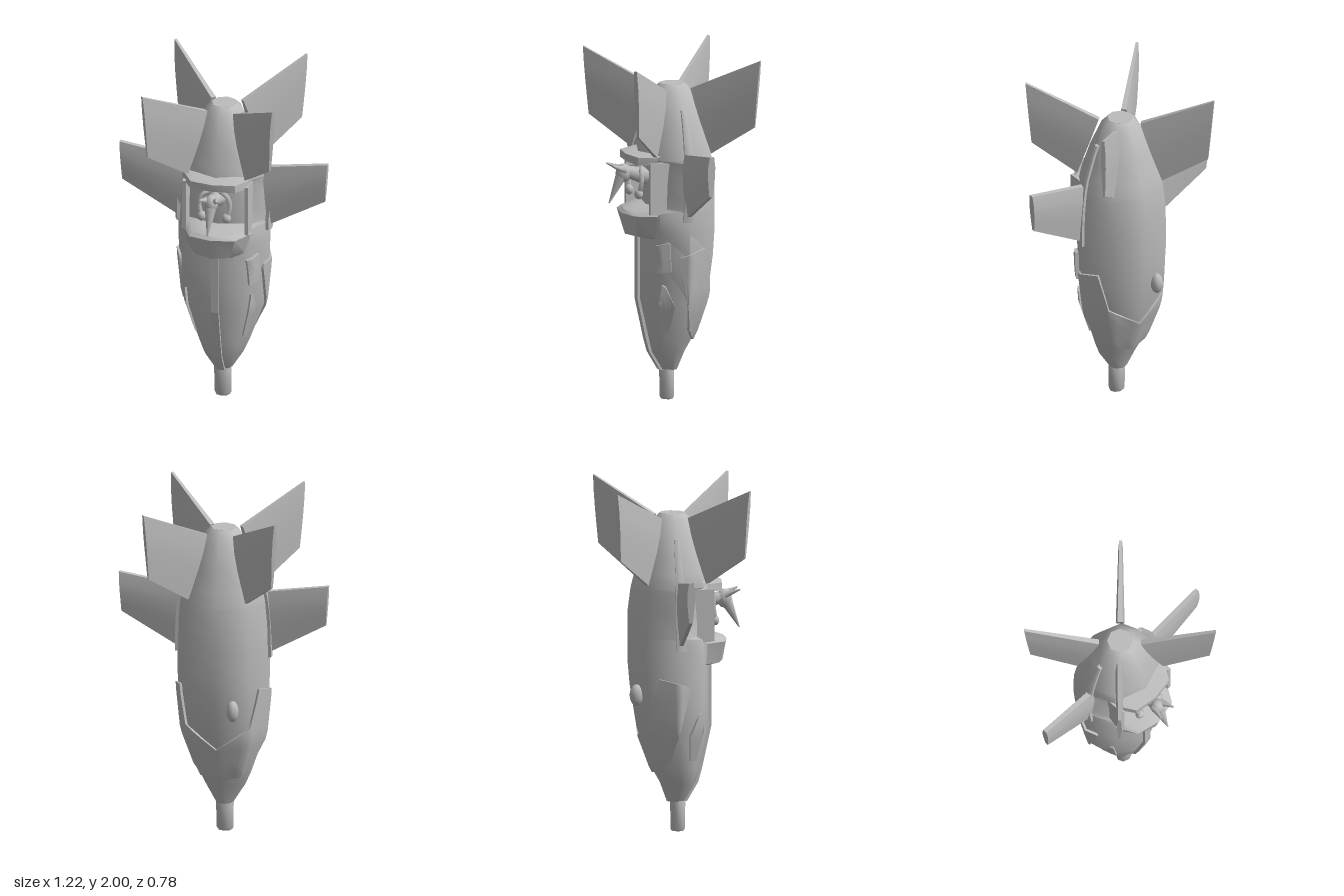
import * as THREE from 'three';
import { toCreasedNormals } from 'three/addons/utils/BufferGeometryUtils.js';

const lerp = THREE.MathUtils.lerp;
const V = (x, y, z) => new THREE.Vector3(x, y, z);

// Hull stations: height, half width, front z, back z
const HULL = [
  [0.17, 0.052, 0.075, -0.03], [0.28, 0.12, 0.14, -0.07], [0.36, 0.155, 0.16, -0.115],
  [0.6, 0.24, 0.215, -0.205], [0.85, 0.265, 0.215, -0.245], [1.0, 0.27, 0.215, -0.258],
  [1.12, 0.27, 0.215, -0.258], [1.14, 0.27, 0.165, -0.258], [1.27, 0.267, 0.165, -0.257],
  [1.4, 0.255, 0.165, -0.24], [1.42, 0.252, 0.215, -0.236], [1.5, 0.235, 0.2, -0.215],
  [1.65, 0.18, 0.16, -0.165], [1.8, 0.105, 0.105, -0.105], [1.83, 0.073, 0.073, -0.073],
];

// Corner k of the eight-sided hull section s
function corner(s, k) {
  const a = k * Math.PI / 4, c = Math.cos(a), mid = (s[2] + s[3]) / 2 * (s[0] < 0.4 ? 1 : 0);
  return V(s[1] * Math.sin(a), s[0], mid + (c > 0 ? s[2] - mid : mid - s[3]) * c);
}

// Point on the hull at an azimuth (degrees from front towards +x), pushed outwards
function hullPoint(az, y, off) {
  let i = 0;
  while (i < HULL.length - 2 && HULL[i + 1][0] < y) i++;
  const t = (y - HULL[i][0]) / (HULL[i + 1][0] - HULL[i][0]);
  const s = HULL[i].map((v, j) => lerp(v, HULL[i + 1][j], t));
  const k = Math.floor(az / 45);
  const p = corner(s, k).lerp(corner(s, k + 1), az / 45 - k);
  const r = az * Math.PI / 180;
  return p.add(V(Math.sin(r) * off, 0, Math.cos(r) * off));
}

// Surface through a grid of points; u runs around, v runs upwards
function grid(nu, nv, at, crease = 0.9) {
  const pos = [], idx = [];
  for (let j = 0; j <= nv; j++) for (let i = 0; i <= nu; i++) pos.push(...at(i, j).toArray());
  for (let j = 0; j < nv; j++) for (let i = 0; i < nu; i++) {
    const a = j * (nu + 1) + i, b = a + nu + 1;
    idx.push(a, a + 1, b, a + 1, b + 1, b);
  }
  const g = new THREE.BufferGeometry();
  g.setAttribute('position', new THREE.Float32BufferAttribute(pos, 3));
  g.setIndex(idx);
  return toCreasedNormals(g, crease);
}

// Raised plate on the hull; stations run around: [azLow, yLow, azHigh, yHigh]
function plate(st, off, nv = 6, sub = 4) {
  const nu = (st.length - 1) * sub;
  return grid(nu + 2, nv + 2, (i, j) => {
    const edge = i === 0 || j === 0 || i === nu + 2 || j === nv + 2;
    const u = THREE.MathUtils.clamp(i - 1, 0, nu) / sub, v = THREE.MathUtils.clamp(j - 1, 0, nv) / nv;
    const k = Math.min(Math.floor(u), st.length - 2);
    const s = st[k].map((q, n) => lerp(q, st[k + 1][n], u - k));
    return hullPoint(lerp(s[0], s[2], v), lerp(s[1], s[3], v), edge ? -0.012 : off);
  });
}

// Symmetrical fairing; rows: [y, side x, side z, mid x, mid z, centre z]
function fairing(rows) {
  return grid(4, rows.length - 1, (i, j) => {
    const [y, w, zs, m, zm, zc] = rows[j];
    return V([-w, -m, 0, m, w][i], y, [zs, zm, zc, zm, zs][i]);
  }, 0.6);
}

// Tapered fin along +x; each end: [x at bottom, y bottom, x at top, y top, thickness]
function fin(root, tip) {
  const g = new THREE.BoxGeometry(1, 1, 1, 1, 4, 1), p = g.attributes.position;
  const thick = [0.45, 0.75, 1, 1, 0.6];
  for (let i = 0; i < p.count; i++) {
    const t = p.getX(i) + 0.5, v = p.getY(i) + 0.5;
    const e = root.map((q, n) => lerp(q, tip[n], t));
    p.setXYZ(i, lerp(e[0], e[2], v), lerp(e[1], e[3], v), p.getZ(i) * e[4] * thick[Math.round(v * 4)]);
  }
  return toCreasedNormals(g, 0.5);
}

// Cone or rod from one point to another
function rod(a, b, r0, r1, sides = 8) {
  const d = b.clone().sub(a), g = new THREE.CylinderGeometry(r1, r0, d.length(), sides);
  g.applyQuaternion(new THREE.Quaternion().setFromUnitVectors(V(0, 1, 0), d.normalize()));
  const m = a.clone().add(b).multiplyScalar(0.5);
  return g.translate(m.x, m.y, m.z);
}

function ball(x, y, z, rx, ry, rz) {
  return new THREE.SphereGeometry(1, 10, 8).scale(rx, ry, rz).translate(x, y, z);
}

export function createModel() {
  const model = new THREE.Group();
  const grey = new THREE.MeshStandardMaterial({ color: 0xbcbcbc, side: THREE.DoubleSide });
  grey.name = 'grey';
  const add = (name, geo, parent = model) => {
    const m = new THREE.Mesh(geo, grey);
    m.name = name;
    parent.add(m);
    return m;
  };

  // Hull, tail cap and nose barrel
  add('hull', grid(8, HULL.length - 1, (i, j) => corner(HULL[j], i)));
  add('tailCap', new THREE.CylinderGeometry(0.073, 0.073, 0.01, 8).translate(0, 1.826, 0));
  const barrel = [[0, 0], [0.042, 0], [0.049, 0.012], [0.052, 0.19], [0.03, 0.24]];
  add('noseBarrel', toCreasedNormals(
    new THREE.LatheGeometry(barrel.map(([x, y]) => new THREE.Vector2(x, y)), 8), 0.9)
    .scale(1, 1, 0.85).translate(0, 0, 0.033));

  // Raised keel strip down the front
  const keel = new THREE.Shape([[0.17, 0.083], [0.28, 0.148], [0.36, 0.17], [0.6, 0.223], [0.97, 0.223],
    [0.97, 0.18], [0.6, 0.18], [0.17, 0.03]].map(([y, z]) => new THREE.Vector2(-z, y)));
  add('keelStrip', new THREE.ExtrudeGeometry(keel, { depth: 0.044, bevelEnabled: false })
    .translate(0, 0, -0.022).rotateY(Math.PI / 2));

  // Four diagonal tail fins
  for (let i = 0; i < 4; i++) {
    const f = add('tailFin', fin([0.245, 1.44, 0.12, 1.81, 0.05], [0.51, 1.61, 0.545, 2.0, 0.026]));
    f.rotation.y = Math.PI / 4 + i * Math.PI / 2;
  }

  // Side wings with their root rails
  const wing = fin([0.22, 1.07, 0.2, 1.452, 0.052], [0.595, 1.28, 0.61, 1.515, 0.044]).translate(0, 0, 0.008);
  const rail = plate([[79, 1.07, 85, 1.7], [95, 1.07, 96, 1.7]], 0.018, 12, 2);
  const sidePanel = plate([[47, 0.6, 50, 0.7], [50, 0.42, 55, 0.69], [63, 0.42, 70, 0.57]], 0.014);
  for (const s of [1, -1]) {
    const side = new THREE.Group();
    side.name = s > 0 ? 'leftSide' : 'rightSide';
    side.scale.x = s;
    model.add(side);
    add('wing', wing, side);
    add('wingRail', rail, side);
    add('sidePanel', sidePanel, side);
  }

  // Wide band wrapped around the back, a hatch and a single bump
  const half = [[72, 0.84, 74, 0.86], [90, 0.57, 90, 0.88], [104, 0.42, 117, 0.905],
    [135, 0.355, 133, 0.68], [180, 0.34, 180, 0.55]];
  const other = half.slice(0, -1).reverse().map(([a, y, b, z]) => [360 - a, y, 360 - b, z]);
  add('backBand', plate([...half, ...other], 0.014));
  add('hatch', plate([[44, 0.77, 39, 0.93], [63, 0.78, 60, 0.95]], 0.022));
  add('backBump', ball(-0.1, 0.8, -0.222, 0.036, 0.062, 0.04));

  // Cockpit: windscreen cowl, rear hood and side coamings
  add('cockpitCowl', fairing([
    [0.955, 0.14, 0.15, 0.08, 0.17, 0.19], [0.975, 0.16, 0.17, 0.1, 0.255, 0.29],
    [1.1, 0.2, 0.17, 0.135, 0.285, 0.315], [1.12, 0.19, 0.16, 0.12, 0.265, 0.295],
    [1.14, 0.18, 0.12, 0.1, 0.15, 0.16]]));
  add('cockpitHood', fairing([
    [1.4, 0.18, 0.1, 0.1, 0.12, 0.14], [1.395, 0.195, 0.17, 0.13, 0.265, 0.28],
    [1.44, 0.19, 0.17, 0.13, 0.265, 0.285], [1.455, 0.17, 0.12, 0.1, 0.15, 0.17]]));
  for (const s of [1, -1]) {
    add('coaming', new THREE.BoxGeometry(0.022, 0.3, 0.12).translate(s * 0.183, 1.26, 0.152));
  }

  // Beaked pilot leaning out of the cockpit
  const pilot = new THREE.Group();
  pilot.name = 'pilot';
  model.add(pilot);
  add('neck', rod(V(0, 1.3, 0.16), V(0, 1.34, 0.29), 0.05, 0.032), pilot);
  add('head', ball(0, 1.33, 0.3, 0.04, 0.055, 0.045), pilot);
  add('beak', rod(V(0, 1.31, 0.315), V(0, 1.16, 0.388), 0.034, 0.003), pilot);
  for (const s of [1, -1]) {
    add('crest', rod(V(s * 0.025, 1.35, 0.3), V(s * 0.05, 1.385, 0.385), 0.022, 0.004, 6), pilot);
    const arm = new THREE.CatmullRomCurve3([V(s * 0.03, 1.36, 0.2), V(s * 0.075, 1.34, 0.22),
      V(s * 0.09, 1.28, 0.225), V(s * 0.075, 1.22, 0.235)]);
    add('arm', new THREE.TubeGeometry(arm, 10, 0.014, 6), pilot);
    add('hand', ball(s * 0.073, 1.215, 0.235, 0.027, 0.03, 0.025), pilot);
  }
  return model;
}
